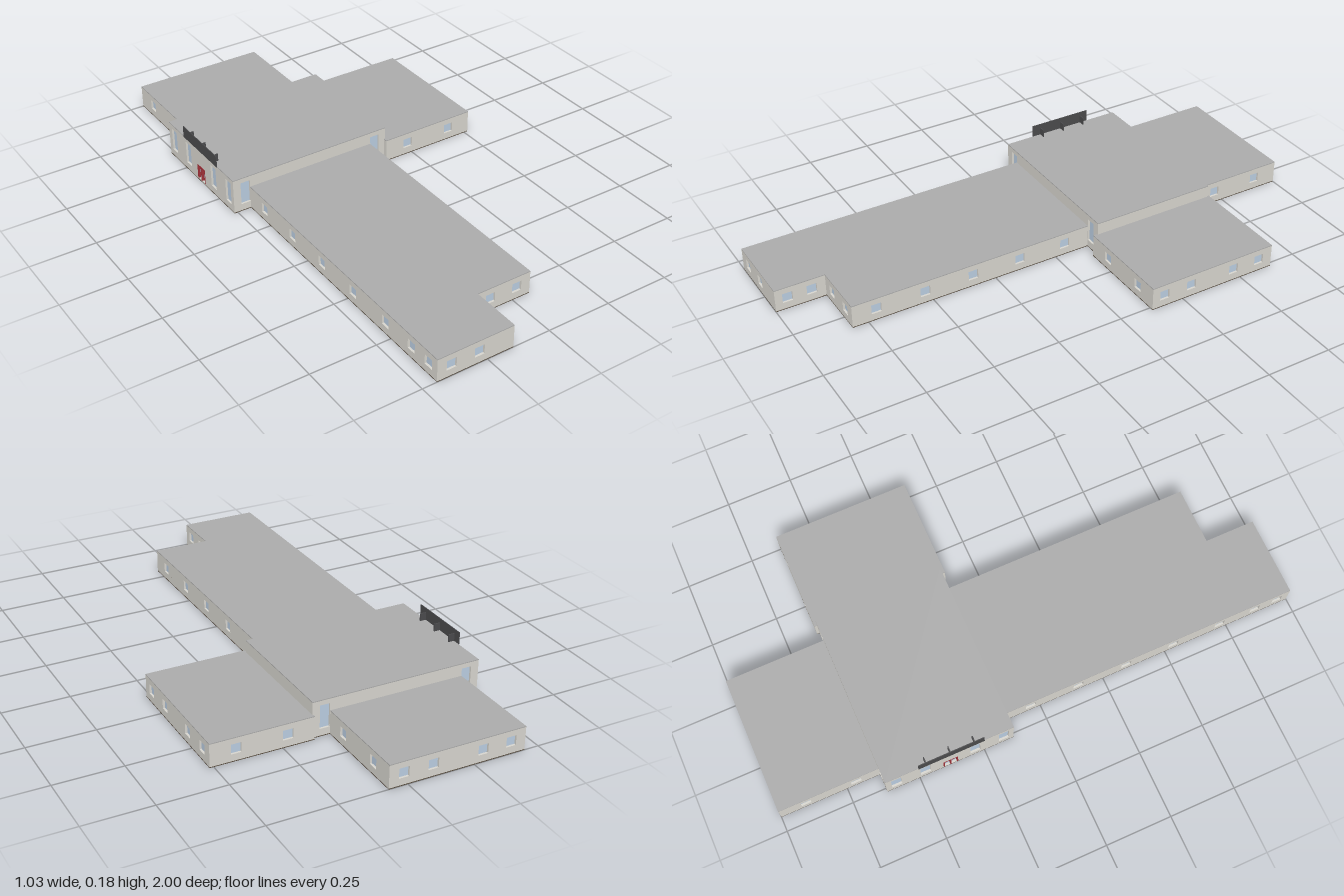
import * as THREE from 'three';

const mat = (color) => new THREE.MeshStandardMaterial({ color });
const WALL = mat(0xd6d4cd), ROOF = mat(0xaaaaaa), FLOOR = mat(0x55493b);
const GLASS = mat(0xb9cce0), DARK = mat(0x4a4a4c), RED = mat(0xa03038);
const T = 0.012; // wall thickness

function box(name, w, h, d, x, y, z, material) {
  const m = new THREE.Mesh(new THREE.BoxGeometry(w, h, d), material);
  m.name = name;
  m.position.set(x, y, z);
  return m;
}

// Flat slab over a footprint of [x, z] corners, from y = top downwards
function slab(name, pts, top, thick, material) {
  const shape = new THREE.Shape(pts.map(([x, z]) => new THREE.Vector2(x, z)));
  const geo = new THREE.ExtrudeGeometry(shape, { depth: thick, bevelEnabled: false });
  geo.rotateX(Math.PI / 2);
  const m = new THREE.Mesh(geo, material);
  m.name = name;
  m.position.y = top;
  return m;
}

// Openings, placed by their world x or z centre along the wall
const small = (c) => ({ c, w: 0.038, y0: 0.026, y1: 0.063 });
const tall = (c) => ({ c, w: 0.038, y0: 0.026, y1: 0.115 });
const door = (c) => ({ c, w: 0.056, y0: 0.005, y1: 0.064, door: true });

// One wall between two corners, with holes, recessed panes and doors
function wall([x1, z1], [x2, z2], h, openings) {
  const g = new THREE.Group();
  g.name = 'wall';
  const len = Math.hypot(x2 - x1, z2 - z1);
  const dx = (x2 - x1) / len, dz = (z2 - z1) / len;
  const shape = new THREE.Shape();
  shape.moveTo(0, 0).lineTo(len, 0).lineTo(len, h).lineTo(0, h).closePath();
  for (const o of openings) {
    const u = Math.abs(dx) > 0.5 ? (o.c - x1) * dx : (o.c - z1) * dz;
    const a = u - o.w / 2, b = u + o.w / 2, oh = o.y1 - o.y0, my = (o.y0 + o.y1) / 2;
    const hole = new THREE.Path();
    hole.moveTo(a, o.y0).lineTo(a, o.y1).lineTo(b, o.y1).lineTo(b, o.y0).closePath();
    shape.holes.push(hole);
    g.add(box(o.door ? 'doorGlass' : 'windowPane', o.w, oh, 0.002, u, my, -T * 0.75, GLASS));
    if (o.door) {
      const f = 0.005;
      for (const x of [a + f / 2, u, b - f / 2]) g.add(box('doorPost', f, oh, T, x, my, -T / 2 + 0.001, RED));
      g.add(box('doorHead', o.w, f, T, u, o.y1 - f / 2, -T / 2 + 0.001, RED));
    }
  }
  const m = new THREE.Mesh(new THREE.ExtrudeGeometry(shape, { depth: T, bevelEnabled: false }), WALL);
  m.name = 'wallPanel';
  m.position.z = -T;
  g.add(m);
  g.position.set(x1, 0.003, z1);
  g.rotation.y = Math.atan2(-dz, dx);
  return g;
}

// Floor, walls and roof; edges[i] lists openings from corner i to i + 1, null leaves that side open
function block(name, pts, h, edges) {
  const g = new THREE.Group();
  g.name = name;
  g.add(slab('floor', pts, 0.003, 0.003, FLOOR), slab('roof', pts, h, 0.003, ROOF));
  edges.forEach((e, i) => e && g.add(wall(pts[i], pts[(i + 1) % pts.length], h - 0.006, e)));
  return g;
}

// Corners run front left, front right, back right, back left
const rect = (x0, x1, z0, z1) => [[x0, z1], [x1, z1], [x1, z0], [x0, z0]];

export function createModel() {
  const model = new THREE.Group();
  model.name = 'building';
  const LOW = 0.09, HIGH = 0.138;
  const roomX = [-0.39, -0.282, -0.094, 0.015];
  const longZ = [0.718, 0.53, 0.34, 0.15, -0.038];
  const endZ = [0.953, 0.862];
  const backZ = [-0.712, -0.902];

  // Tall central hall with the entrance on its right side
  model.add(block('centralHall', rect(-0.513, 0.137, -0.625, -0.137), HIGH, [
    [-0.464, 0.09].map(tall), [],
    [-0.464, 0.09].map(tall),
    [...[-0.585, -0.475, -0.285, -0.175].map(tall), door(-0.38)],
  ]));

  // Long front wing with a notched end
  const longPts = [[-0.445, 1], [-0.147, 1], [-0.147, 0.81], [0.07, 0.81], [0.07, -0.137], [-0.445, -0.137]];
  model.add(block('frontWing', longPts, LOW, [
    roomX.slice(0, 2).map(small), endZ.map(small), roomX.slice(2).map(small),
    longZ.map(small), null, [...longZ, ...endZ].map(small),
  ]));

  // Short back wing
  model.add(block('backWing', rect(-0.445, 0.07, -1, -0.625), LOW,
    [null, backZ.map(small), roomX.map(small), backZ.map(small)]));

  // Side wing
  const sideX = [0.231, 0.42];
  model.add(block('sideWing', rect(0.133, 0.515, -0.635, -0.121), LOW, [
    sideX.map(small), [-0.171, -0.284, -0.467, -0.579].map(small), sideX.map(small), [],
  ]));

  // Blank sign board on the hall roof with three brackets
  const sign = new THREE.Group();
  sign.name = 'signBoard';
  sign.add(box('board', 0.003, 0.046, 0.25, -0.515, 0.16, -0.375, DARK));
  for (const z of [-0.47, -0.378, -0.286]) sign.add(box('bracket', 0.025, 0.03, 0.004, -0.502, 0.152, z, DARK));
  model.add(sign);
  return model;
}
